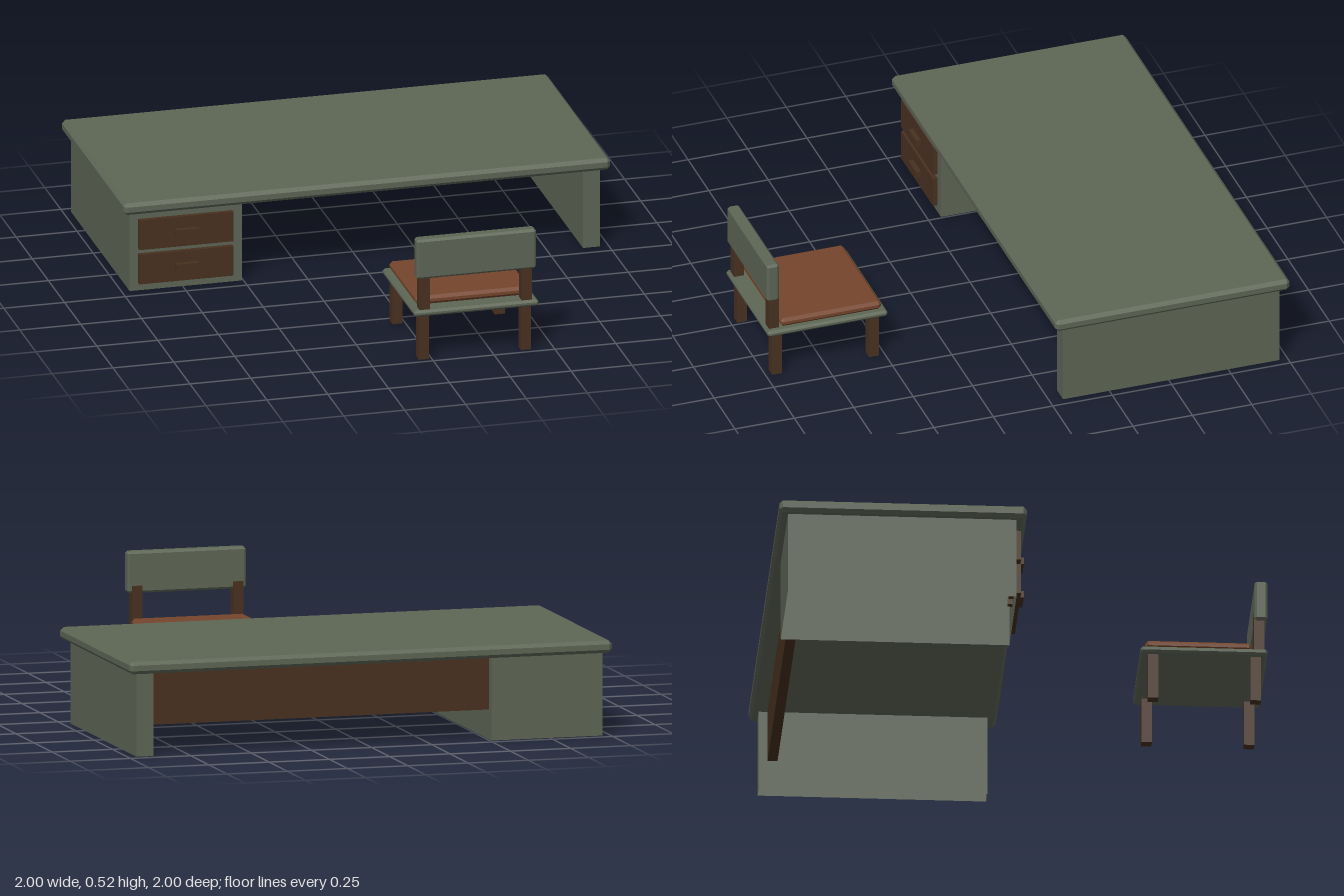
import * as THREE from 'three';
import { ConvexGeometry } from 'three/addons/geometries/ConvexGeometry.js';

const mat = (name, color, side = THREE.FrontSide) =>
  Object.assign(new THREE.MeshStandardMaterial({ color, side }), { name });

export function createModel() {
  const green = mat('paintedGreen', 0x5d6655, THREE.DoubleSide);
  const brown = mat('darkWood', 0x483120);
  const leather = mat('cushionLeather', 0x75452c);

  // All boxes are given as [min, max] ranges in x, y, z
  const place = (geo, parent, name, material, x, y, z) => {
    const m = new THREE.Mesh(geo, material);
    m.name = name;
    m.position.set((x[0] + x[1]) / 2, (y[0] + y[1]) / 2, (z[0] + z[1]) / 2);
    parent.add(m);
    return m;
  };
  const box = (parent, name, material, x, y, z) =>
    place(new THREE.BoxGeometry(x[1] - x[0], y[1] - y[0], z[1] - z[0]), parent, name, material, x, y, z);

  // Box with every edge chamfered by c
  const chamferBox = (parent, name, material, x, y, z, c) => {
    const h = [x, y, z].map(r => (r[1] - r[0]) / 2);
    const pts = [];
    for (const sx of [-1, 1]) for (const sy of [-1, 1]) for (const sz of [-1, 1])
      for (let axis = 0; axis < 3; axis++) {
        const p = h.map((v, i) => (i === axis ? v : v - c));
        pts.push(new THREE.Vector3(sx * p[0], sy * p[1], sz * p[2]));
      }
    return place(new ConvexGeometry(pts), parent, name, material, x, y, z);
  };

  // Four thin walls, open above and below
  const openBox = (parent, name, material, x, y, z) => {
    const m = box(parent, name, material, x, y, z);
    const index = Array.from(m.geometry.index.array);
    index.splice(12, 12);
    m.geometry.setIndex(index);
    m.geometry.clearGroups();
    return m;
  };

  const model = new THREE.Group();
  model.name = 'deskAndChair';

  // Desk
  const desk = new THREE.Group();
  desk.name = 'desk';
  model.add(desk);
  chamferBox(desk, 'desktop', green, [-1, 1], [0.335, 0.385], [-1, -0.015], 0.014);
  openBox(desk, 'sidePanel', green, [0.895, 0.965], [0, 0.336], [-0.965, -0.055]);
  openBox(desk, 'drawerCabinet', green, [-0.968, -0.507], [0, 0.336], [-0.965, -0.055]);
  box(desk, 'modestyPanel', brown, [-0.507, 0.895], [0.12, 0.336], [-0.93, -0.89]);

  // Drawers with bar handles
  for (const y of [0.095, 0.241]) {
    box(desk, 'drawerFront', brown, [-0.933, -0.547], [y - 0.063, y + 0.063], [-0.054, -0.035]);
    box(desk, 'drawerHandle', brown, [-0.786, -0.692], [y - 0.014, y + 0.014], [-0.035, -0.015]);
    for (const x of [-0.775, -0.703])
      box(desk, 'handleBolt', brown, [x - 0.012, x + 0.012], [y - 0.012, y + 0.012], [-0.075, -0.035]);
  }

  // Chair, facing the desk
  const chair = new THREE.Group();
  chair.name = 'chair';
  model.add(chair);
  chamferBox(chair, 'seat', green, [-0.077, 0.435], [0.19, 0.216], [0.495, 1], 0.009);
  chamferBox(chair, 'seatCushion', leather, [-0.055, 0.417], [0.216, 0.252], [0.515, 0.938], 0.012);
  chamferBox(chair, 'backrest', green, [-0.067, 0.425], [0.35, 0.517], [0.949, 1], 0.009);
  for (const x of [-0.032, 0.388]) {
    const xr = [x - 0.021, x + 0.021];
    for (const z of [0.546, 0.954])
      box(chair, 'chairLeg', brown, xr, [0, 0.192], [z - 0.021, z + 0.021]);
    box(chair, 'backPost', brown, xr, [0.214, 0.38], [0.946, 0.988]);
  }
  return model;
}
